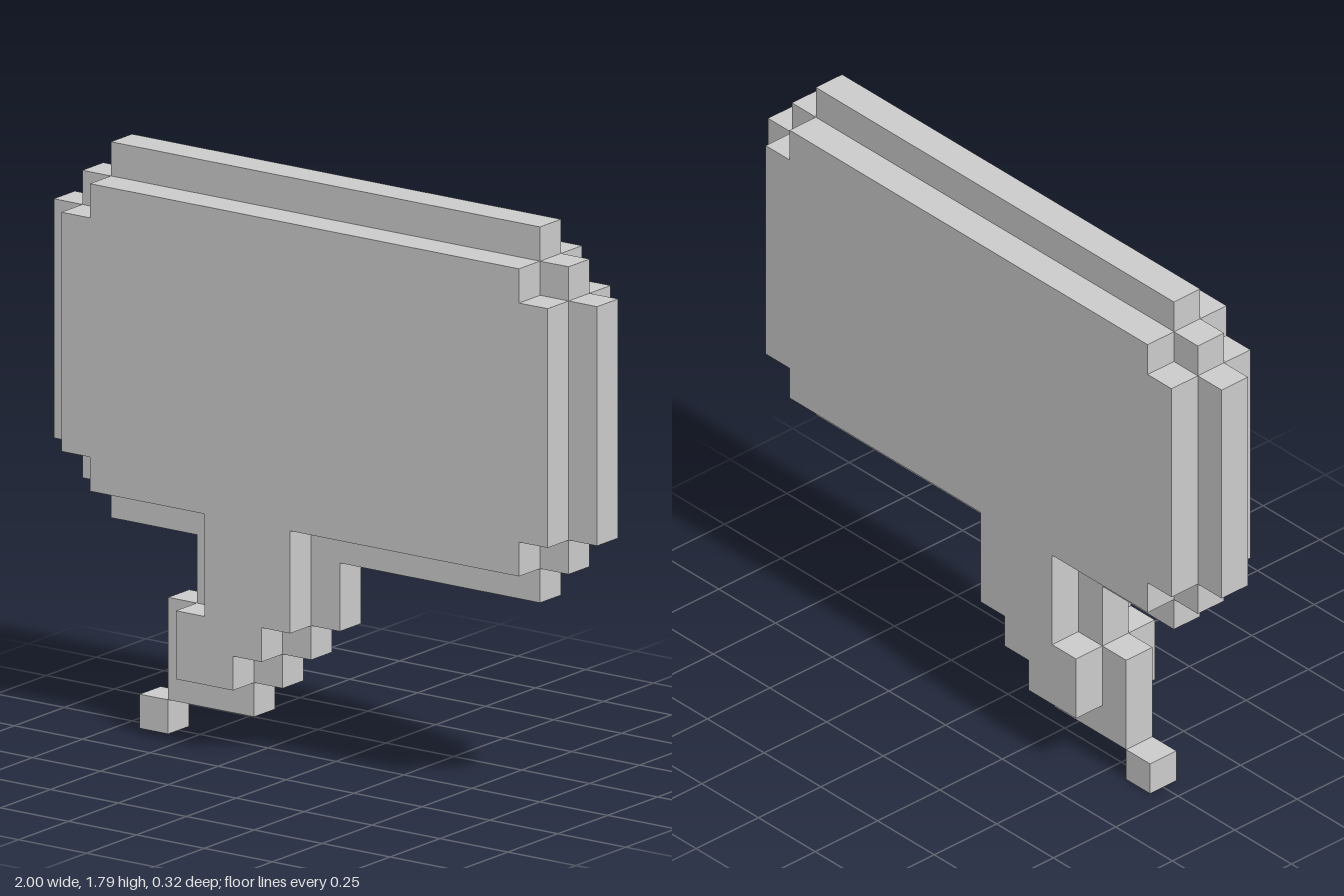
import * as THREE from 'three';

const U = 2 / 19; // one block

export function createModel() {
  const model = new THREE.Group();
  model.name = 'speechBubble';
  const material = new THREE.MeshStandardMaterial({ color: 0xcccccc, flatShading: true });

  // Bubble with its tail, three blocks thick: outline in block units
  const outline = [
    [-7.5, 7], [-3.5, 7], [-3.5, 4], [-4.5, 4], [-4.5, 2], [-2.5, 2], [-2.5, 3], [-1.5, 3],
    [-1.5, 4], [-0.5, 4], [-0.5, 7], [7.5, 7], [7.5, 8], [8.5, 8], [8.5, 15], [7.5, 15],
    [7.5, 16], [-7.5, 16], [-7.5, 15], [-8.5, 15], [-8.5, 8], [-7.5, 8],
  ];
  const shape = new THREE.Shape(outline.map(([x, y]) => new THREE.Vector2(x * U, y * U)));
  const coreGeometry = new THREE.ExtrudeGeometry(shape, { depth: 3 * U, bevelEnabled: false });
  coreGeometry.translate(0, 0, -1.5 * U);
  const core = new THREE.Mesh(coreGeometry, material);
  core.name = 'bubbleCore';
  model.add(core);

  // One-block-thick bars around the core: x0, y0, x1, y1 in block units
  const addBar = (group, name, [x0, y0, x1, y1]) => {
    const bar = new THREE.Mesh(new THREE.BoxGeometry((x1 - x0) * U, (y1 - y0) * U, U), material);
    bar.position.set((x0 + x1) / 2 * U, (y0 + y1) / 2 * U, 0);
    bar.name = name;
    group.add(bar);
  };

  // Rim of the bubble
  const rim = new THREE.Group();
  rim.name = 'bubbleRim';
  addBar(rim, 'topRim', [-7.5, 16, 7.5, 17]);
  addBar(rim, 'bottomRimRight', [-7.5, 6, -3.5, 7]);
  addBar(rim, 'bottomRimLeft', [-0.5, 6, 7.5, 7]);
  for (const [side, s] of [['Left', 1], ['Right', -1]]) {
    const mirrored = (x0, y0, x1, y1) => (s > 0 ? [x0, y0, x1, y1] : [-x1, y0, -x0, y1]);
    addBar(rim, 'sideRim' + side, mirrored(8.5, 8, 9.5, 15));
    addBar(rim, 'topCorner' + side, mirrored(7.5, 15, 8.5, 16));
    addBar(rim, 'bottomCorner' + side, mirrored(7.5, 7, 8.5, 8));
  }
  model.add(rim);

  // Stepped rim of the tail, ending in a single block
  const tail = new THREE.Group();
  tail.name = 'tailRim';
  addBar(tail, 'tailUpperRight', [-4.5, 4, -3.5, 6]);
  addBar(tail, 'tailLowerRight', [-5.5, 1, -4.5, 4]);
  addBar(tail, 'tailBottom', [-4.5, 1, -2.5, 2]);
  addBar(tail, 'tailLowerStep', [-2.5, 2, -1.5, 3]);
  addBar(tail, 'tailUpperStep', [-1.5, 3, -0.5, 4]);
  addBar(tail, 'tailUpperLeft', [-0.5, 4, 0.5, 6]);
  addBar(tail, 'tailTip', [-6.5, 0, -5.5, 1]);
  model.add(tail);

  return model;
}
